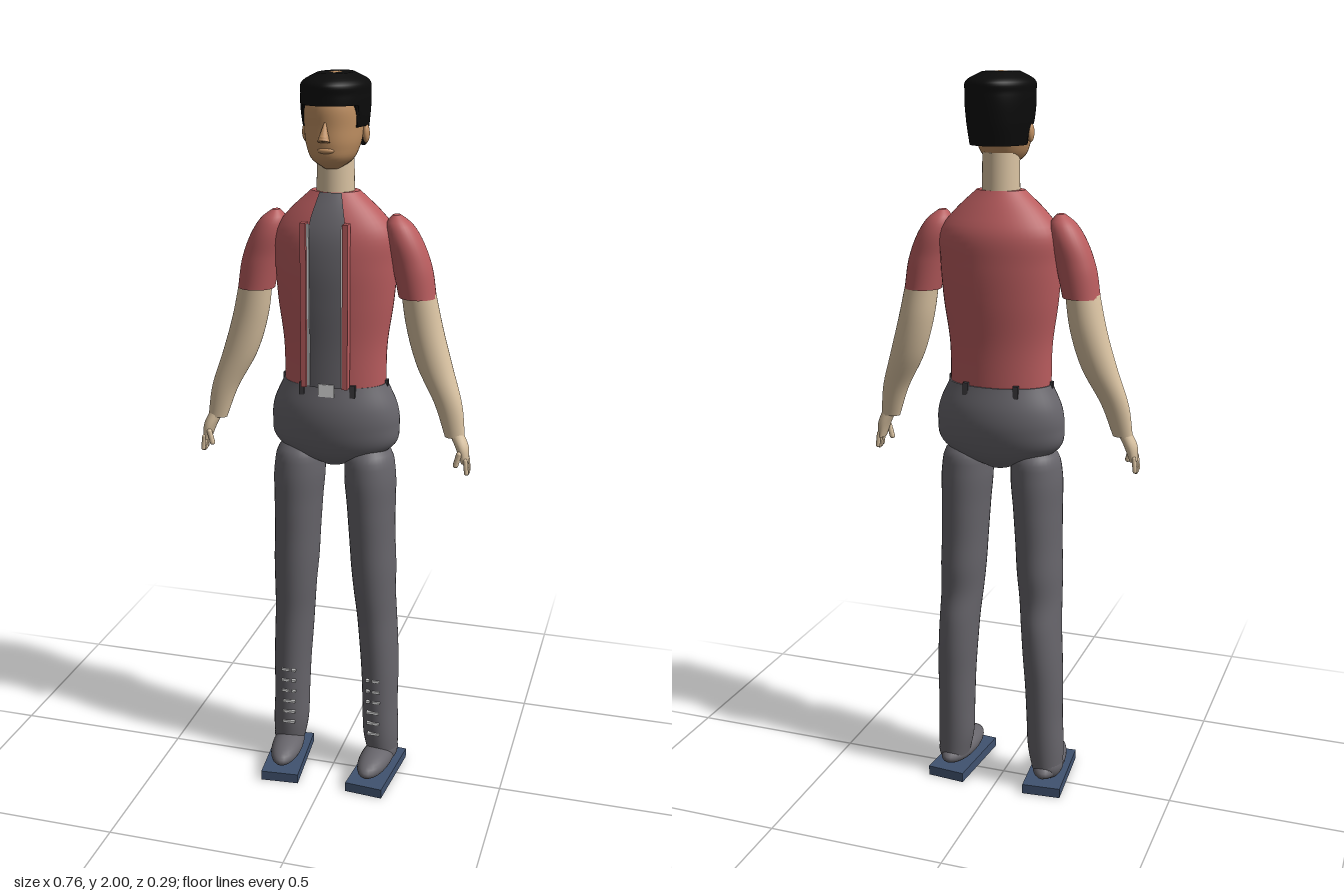
import * as THREE from 'three';

const mat = (name, color, side = THREE.FrontSide) => {
  const m = new THREE.MeshStandardMaterial({ color, side });
  m.name = name;
  return m;
};

// Smooth sampler through rows of [y, centreX, centreZ, radiusX, radiusZ]
function sampler(rows) {
  const values = new Float32Array(rows.flatMap(r => r.slice(1)));
  const curve = new THREE.CubicInterpolant(new Float32Array(rows.map(r => r[0])), values, 4, new Float32Array(4));
  return y => Array.from(curve.evaluate(y));
}

// Closed body made of stacked ellipses, with flat end caps
function loft(rows, steps = 24, sides = 32, flip = 1) {
  const at = sampler(rows), y0 = rows[0][0], y1 = rows[rows.length - 1][0];
  const pos = [], idx = [];
  const ring = y => {
    const [cx, cz, rx, rz] = at(y);
    for (let j = 0; j < sides; j++) {
      const a = j / sides * Math.PI * 2;
      pos.push(cx * flip + rx * Math.cos(a), y, cz + rz * Math.sin(a));
    }
    return [cx * flip, y, cz];
  };
  for (let i = 0; i <= steps; i++) ring(y0 + (y1 - y0) * i / steps);
  for (let i = 0; i < steps; i++) for (let j = 0; j < sides; j++) {
    const a = i * sides + j, b = i * sides + (j + 1) % sides;
    idx.push(a, a + sides, b, b, a + sides, b + sides);
  }
  for (const [y, top] of [[y0, false], [y1, true]]) {
    const start = pos.length / 3, c = start + sides;
    pos.push(...ring(y));
    for (let j = 0; j < sides; j++) {
      const a = start + j, b = start + (j + 1) % sides;
      idx.push(c, top ? b : a, top ? a : b);
    }
  }
  const g = new THREE.BufferGeometry();
  g.setAttribute('position', new THREE.Float32BufferAttribute(pos, 3));
  g.setIndex(idx);
  g.computeVertexNormals();
  return g;
}

export function createModel() {
  const model = new THREE.Group();
  const shirt = mat('red shirt', 0xb95c5e);
  const grey = mat('grey cloth', 0x67656b, THREE.DoubleSide);
  const skin = mat('light skin', 0xdac3a2);
  const faceSkin = mat('tan face', 0xc09062);
  const black = mat('black hair', 0x0b0b0b, THREE.DoubleSide);
  const blue = mat('blue sole', 0x40526f);
  const white = mat('white trim', 0xdcdcdc);
  const dark = mat('dark belt loop', 0x3c3a3e);

  const add = (name, geo, material, x = 0, y = 0, z = 0, parent = model) => {
    const m = new THREE.Mesh(geo, material);
    m.name = name;
    m.position.set(x, y, z);
    parent.add(m);
    return m;
  };
  const box = (w, h, d) => new THREE.BoxGeometry(w, h, d);
  const ball = (rx, ry, rz) => new THREE.SphereGeometry(1, 24, 16).scale(rx, ry, rz);

  // Torso
  const torsoRows = [
    [1.18, 0, -.02, .14, .09], [1.3, 0, -.02, .142, .092], [1.42, 0, -.022, .158, .1],
    [1.52, 0, -.023, .165, .103], [1.6, 0, -.025, .163, .097], [1.65, 0, -.022, .125, .078],
    [1.705, 0, -.02, .065, .05]];
  const torsoAt = sampler(torsoRows);
  add('torso', loft(torsoRows, 36, 48), shirt);

  // Grey front panel that hugs the chest and narrows at the collar
  const panel = new THREE.PlaneGeometry(1, .51, 8, 32);
  const p = panel.attributes.position;
  for (let i = 0; i < p.count; i++) {
    const y = p.getY(i) + 1.45;
    const half = y > 1.635 ? .047 - (y - 1.635) * .25 : .047;
    const x = p.getX(i) * 2 * half, [, cz, rx, rz] = torsoAt(y);
    p.setXYZ(i, x, y, cz + rz * Math.sqrt(1 - (x / rx) ** 2) + .005);
  }
  panel.computeVertexNormals();
  add('frontPanel', panel, grey);

  // Hips
  add('hips', loft([
    [.96, 0, -.02, .035, .04], [.99, 0, -.02, .12, .075], [1.02, 0, -.021, .165, .092],
    [1.08, 0, -.023, .178, .107], [1.13, 0, -.023, .172, .107], [1.195, 0, -.022, .143, .093]], 30, 48), grey);
  add('buckle', box(.044, .034, .008), white, 0, 1.188, .074);

  // Neck and head
  add('neck', new THREE.CylinderGeometry(.048, .051, .14, 32), skin, 0, 1.73, -.02);
  add('head', loft([
    [1.765, 0, .008, .022, .03], [1.785, 0, .008, .05, .06], [1.82, 0, .002, .068, .077],
    [1.87, 0, -.008, .076, .088], [1.92, 0, -.012, .077, .092], [1.97, 0, -.015, .065, .08]], 30, 40), faceSkin);
  const nose = add('nose', new THREE.ConeGeometry(.016, .055, 16), faceSkin, 0, 1.865, .085);
  nose.rotation.x = -.3;
  add('noseTip', ball(.013, .01, .015), faceSkin, 0, 1.848, .09);
  add('lips', ball(.022, .008, .01), faceSkin, 0, 1.815, .073);

  // Hair cap: its lower edge steps up from the nape to the fringe
  const hair = loft([
    [1.82, 0, -.035, .074, .086], [1.88, 0, -.024, .084, .112], [1.95, 0, -.022, .087, .122],
    [1.98, 0, -.021, .081, .12], [2, 0, -.018, .045, .075]], 36, 80);
  const h = hair.attributes.position;
  for (let i = 0; i < h.count; i++) {
    const z = h.getZ(i);
    const edge = z > .035 ? 1.925 : z > -.025 ? 1.87 : 1.82;
    if (Math.hypot(h.getX(i), z + .03) > .05) h.setY(i, Math.max(h.getY(i), edge));
  }
  hair.computeVertexNormals();
  add('hair', hair, black);
  add('crownSpot', ball(.017, .002, .026), faceSkin, 0, 1.9995, -.02);
  add('crownDot', ball(.009, .003, .011), skin, 0, 1.9995, -.02);

  // Leg outline, with slight folds in the cloth
  const legRows = [
    [.06, .143, -.025, .044, .05], [.12, .138, -.024, .051, .056], [.22, .134, -.026, .051, .061],
    [.32, .132, -.028, .053, .066], [.42, .127, -.029, .055, .072], [.5, .122, -.026, .056, .074],
    [.58, .117, -.017, .059, .073], [.66, .113, -.016, .063, .078], [.74, .109, -.014, .064, .079],
    [.84, .105, -.013, .067, .082], [.95, .1, -.013, .07, .08], [1.0, .097, -.015, .06, .068],
    [1.03, .095, -.015, .03, .035]];
  const legAt = sampler(legRows);

  for (const s of [1, -1]) {
    const side = new THREE.Group();
    side.name = s > 0 ? 'leftSide' : 'rightSide';
    model.add(side);
    const put = (name, geo, m, x, y, z) => add(name, geo, m, s * x, y, z, side);

    // Leg, shoe and sole
    add('leg', loft(legRows, 60, 32, s), grey, 0, 0, 0, side);
    const foot = new THREE.Group();
    foot.name = 'foot';
    foot.position.set(s * .136, 0, .021);
    foot.rotation.y = -s * .085;
    side.add(foot);
    add('sole', box(.109, .028, .234), blue, 0, .014, 0, foot);
    add('shoe', ball(.045, .034, .112), grey, 0, .058, 0, foot);
    add('ankle', ball(.044, .045, .052), grey, s * .005, .07, -.045, foot);

    // Shin laces, split in two higher up
    [.14, .175, .21, .245, .28, .315].forEach((y, i) => {
      const [cx, cz, , rz] = legAt(y), z = cz + rz - .001;
      const parts = i < 3 ? [[0, .036]] : [[-.013, .011], [.011, .022]];
      for (const [dx, w] of parts) put('lace', box(w, .007, .009), white, cx - .008 + dx, y, z);
    });

    // Shirt opening edge and trim
    put('placket', box(.015, .435, .026), shirt, .056, 1.418, .083);
    put('whiteTrim', box(.008, .43, .008), white, .047, 1.416, .083);

    // Belt loops, front and back
    for (const [x, z] of [[.07, .062], [.07, -.105]]) put('beltLoop', box(.014, .034, .012), dark, x, 1.187, z);
    put('beltLoop', box(.01, .034, .014), dark, .142, 1.187, -.02);

    // Sleeve and arm
    add('sleeve', loft([
      [1.435, .222, -.022, .05, .05], [1.52, .205, -.022, .052, .051],
      [1.6, .178, -.022, .044, .047], [1.63, .168, -.021, .03, .034], [1.648, .163, -.02, .01, .014]], 24, 32, s), shirt, 0, 0, 0, side);
    add('arm', loft([
      [1.065, .336, 0, .027, .018], [1.15, .315, -.008, .037, .028], [1.25, .273, -.02, .048, .04],
      [1.35, .243, -.025, .049, .045], [1.46, .222, -.022, .045, .045]], 24, 32, s), skin, 0, 0, 0, side);

    // Hand
    add('palm', loft([
      [.998, .366, .006, .01, .02], [1.04, .357, .004, .018, .023], [1.08, .338, 0, .02, .015]], 12, 24, s), skin, 0, 0, 0, side);
    for (let i = 0; i < 4; i++) {
      const finger = put('finger', new THREE.CapsuleGeometry(.0062, .035, 4, 10), skin, .372, .985 + Math.abs(i - 1.5) * .004, -.01 + i * .011);
      finger.rotation.z = s * .12;
    }
    const thumb = put('thumb', new THREE.CapsuleGeometry(.0075, .032, 4, 10), skin, .349, 1.01, .026);
    thumb.rotation.z = -s * .25;

    // Ear
    put('ear', ball(.009, .024, .014), faceSkin, .08, 1.85, -.02);
  }
  return model;
}
